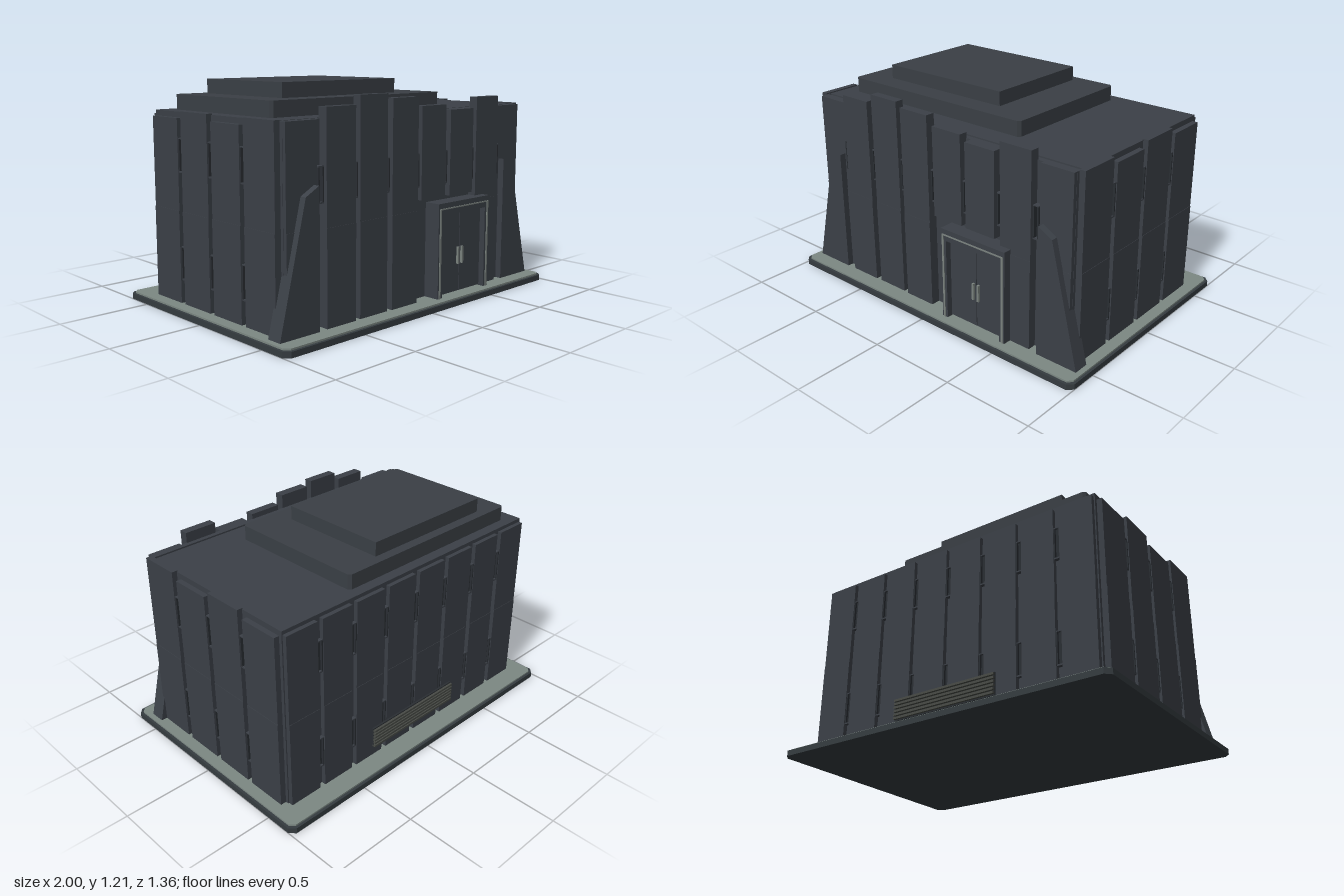
import * as THREE from 'three';

const mat = (name, color) => {
  const m = new THREE.MeshStandardMaterial({ color });
  m.name = name;
  return m;
};

export function createModel() {
  const root = new THREE.Group();
  root.name = 'building';
  const wall = mat('wall slate', 0x3b4047);
  const roof = mat('roof slate', 0x3a3f45);
  const rim = mat('plinth edge', 0x353c40);
  const paving = mat('paving grey', 0x7c8883);
  const glass = mat('dark glass', 0x2a2e33);
  const lit = mat('lit glass', 0x9aa39e);
  const trim = mat('metal trim', 0x7a827e);
  const louvre = mat('louvre', 0x484b46);

  // Box given by its minimum and maximum corners
  const box = (name, m, x0, x1, y0, y1, z0, z1, parent = root) => {
    const mesh = new THREE.Mesh(new THREE.BoxGeometry(x1 - x0, y1 - y0, z1 - z0), m);
    mesh.position.set((x0 + x1) / 2, (y0 + y1) / 2, (z0 + z1) / 2);
    mesh.name = name;
    parent.add(mesh);
  };

  // Horizontal slab with chamfered corners
  const slab = (name, m, x0, x1, y0, y1, z0, z1, c) => {
    const s = new THREE.Shape([
      [x0 + c, -z1], [x1 - c, -z1], [x1, -z1 + c], [x1, -z0 - c],
      [x1 - c, -z0], [x0 + c, -z0], [x0, -z0 - c], [x0, -z1 + c],
    ].map(([x, y]) => new THREE.Vector2(x, y)));
    const g = new THREE.ExtrudeGeometry(s, { depth: y1 - y0, bevelEnabled: false });
    g.rotateX(-Math.PI / 2);
    const mesh = new THREE.Mesh(g, m);
    mesh.position.y = y0;
    mesh.name = name;
    root.add(mesh);
  };

  // Plinth and paving
  slab('plinth', rim, -1, 1, 0, 0.031, -0.679, 0.679, 0.03);
  slab('paving', paving, -0.986, 0.986, 0.031, 0.04, -0.664, 0.664, 0.025);

  // Main body, with a narrow slot behind the front screen wall
  box('body', wall, -0.89, 0.89, 0.04, 1.05, -0.525, 0.48);
  box('frontWall', wall, -0.885, 0.885, 0.04, 1.05, 0.495, 0.525);
  for (const s of [-1, 1]) {
    box('frontWallReturn', wall, s * 0.885 - 0.005, s * 0.885 + 0.005, 0.04, 1.05, 0.475, 0.5);
  }

  // Stepped roof
  slab('roofTierLower', roof, -0.805, 0.405, 1.05, 1.132, -0.465, 0.35, 0.015);
  box('roofTierUpper', roof, -0.635, 0.17, 1.132, 1.21, -0.41, 0.225);

  // Cladding panel on a face turned by angle; the upper lift is set back a hair
  const joint = 0.535;
  const panel = (name, x, z, angle, half, y0, y1, depth) => {
    const g = new THREE.Group();
    g.name = name;
    g.position.set(x, 0, z);
    g.rotation.y = angle;
    root.add(g);
    if (y0 < joint) box('lowerLift', wall, -half, half, y0, joint, -0.004, depth, g);
    box('upperLift', wall, -half, half, Math.max(y0, joint), y1, -0.004, depth - 0.002, g);
  };

  // Slit window filling a gap between panels: pane, jambs, head and sill
  const slit = (x, z, angle, y0, y1, depth, isLit) => {
    const g = new THREE.Group();
    g.name = 'slitWindow';
    g.position.set(x, 0, z);
    g.rotation.y = angle;
    root.add(g);
    box('windowPane', isLit ? lit : glass, -0.01, 0.01, y0, y1, 0, 0.008, g);
    for (const e of [-1, 1]) {
      box('windowJamb', glass, e * 0.0135 - 0.004, e * 0.0135 + 0.004, y0, y1, 0, depth, g);
    }
    box('windowHead', wall, -0.0175, 0.0175, y1, y1 + 0.006, 0, depth, g);
    box('windowSill', wall, -0.0175, 0.0175, y0 - 0.008, y0, 0, depth, g);
  };

  // Front panels of varied height: [top, bottom]
  [[1.05, 0.04], [1.108, 0.04], [1.155, 0.04], [1.13, 0.04],
    [1.08, 0.585], [1.05, 0.585], [1.108, 0.04], [1.05, 0.04]].forEach(([top, low], i) => {
    const outer = i === 0 || i === 7;
    panel('frontPanel', (i - 3.5) * 0.225, 0.525, 0, 0.096, low, top, outer ? 0.022 : 0.048 + (i % 2) * 0.004);
  });

  // Back panels, and slit windows in the front and back gaps
  for (let i = 0; i < 8; i++) {
    const c = (i - 3.5) * 0.225;
    panel('backPanel', c, -0.525, Math.PI, 0.096, 0.04, 1.03, 0.025);
    if (i === 7) continue;
    const x = c + 0.1125;
    slit(x, 0.525, 0, 0.66, 0.826, 0.03, i === 2 || i === 5);
    slit(x, -0.525, Math.PI, 0.745, 0.912, 0.02, false);
    slit(x, -0.525, Math.PI, 0.172, 0.34, 0.02, false);
  }

  // Side panels and windows, mirrored
  for (const s of [-1, 1]) {
    const turn = s * Math.PI / 2;
    for (let i = 0; i < 4; i++) {
      const c = 0.395 - i * 0.2625;
      panel('sidePanel', s * 0.89, c, turn, 0.115, 0.04, i % 2 ? 1.02 : 1.056, 0.032);
      if (i === 3) continue;
      slit(s * 0.89, c - 0.131, turn, 0.745, 0.912, 0.025, i === 1);
      slit(s * 0.89, c - 0.131, turn, 0.172, 0.34, 0.025, i === 1);
    }
  }

  // Raked corner buttresses
  for (const s of [-1, 1]) {
    const pts = [[0.957, 0.04], [0.795, 0.7], [0.712, 0.745], [0.712, 0.04]];
    const shape = new THREE.Shape(pts.map(([x, y]) => new THREE.Vector2(s * x, y)));
    const b = new THREE.Mesh(
      new THREE.ExtrudeGeometry(shape, { depth: 0.087, bevelEnabled: false }), wall);
    b.position.z = 0.495;
    b.name = 'buttress';
    root.add(b);
  }

  // Entrance portal
  const door = new THREE.Group();
  door.name = 'entrance';
  door.position.x = 0.32;
  root.add(door);
  box('lintel', wall, -0.215, 0.215, 0.495, 0.56, 0.52, 0.618, door);
  box('lintelTrim', trim, -0.206, 0.206, 0.525, 0.532, 0.618, 0.622, door);
  for (const s of [-1, 1]) {
    box('doorPost', wall, s * 0.1975 - 0.0175, s * 0.1975 + 0.0175, 0.04, 0.495, 0.52, 0.618, door);
    box('postTrim', trim, s * 0.2 - 0.006, s * 0.2 + 0.006, 0.04, 0.525, 0.618, 0.622, door);
    box('doorLeaf', wall, s * 0.091 - 0.089, s * 0.091 + 0.089, 0.045, 0.49, 0.52, 0.585, door);
    box('doorHandle', trim, s * 0.017 - 0.006, s * 0.017 + 0.006, 0.2, 0.295, 0.585, 0.598, door);
  }

  // Louvred vent at the back
  box('ventBacking', glass, -0.315, 0.315, 0.095, 0.218, -0.56, -0.548);
  for (let i = 0; i < 6; i++) {
    const y = 0.108 + i * 0.0195;
    box('ventSlat', louvre, -0.315, 0.315, y - 0.006, y + 0.006, -0.573, -0.555);
  }
  return root;
}
